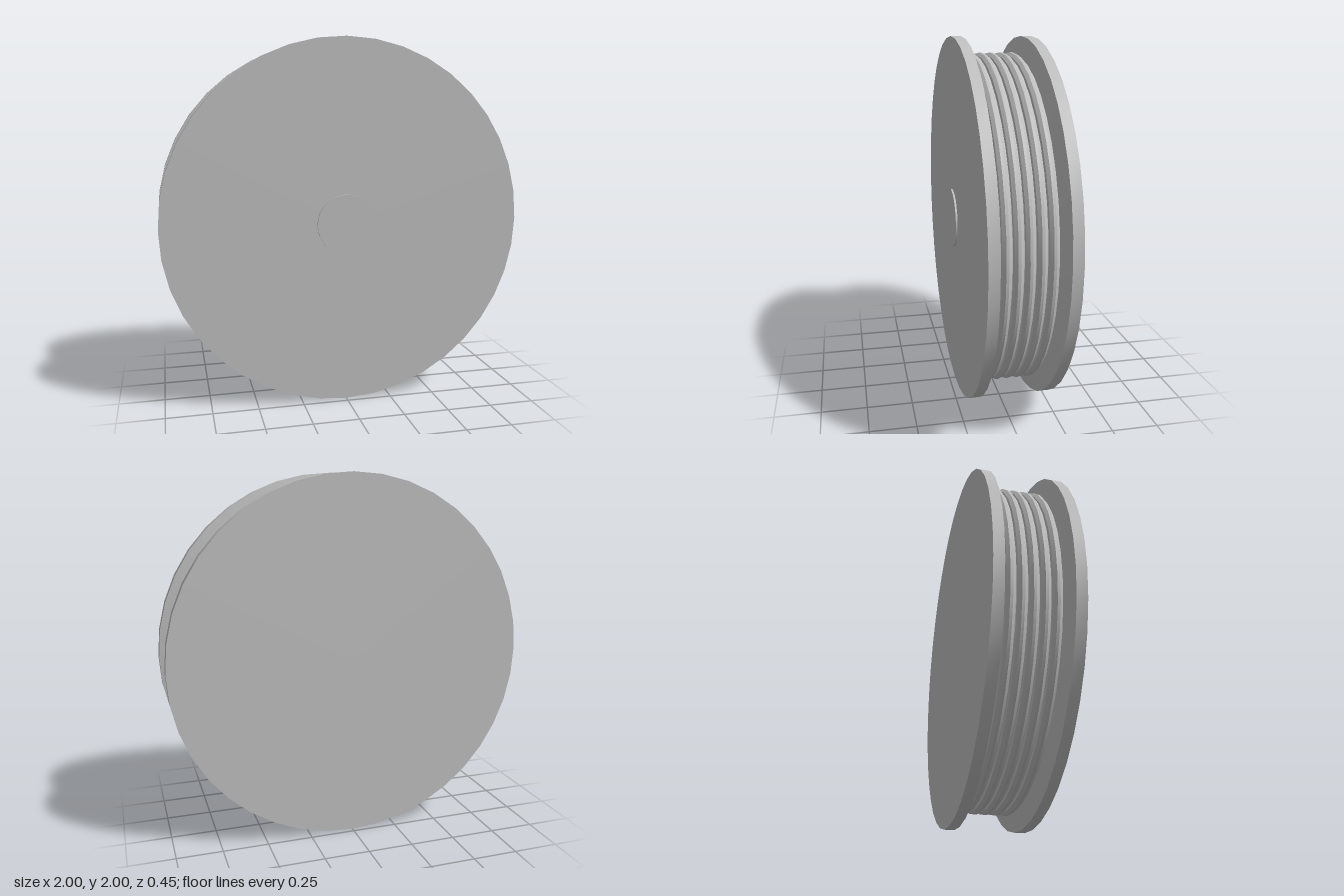
import * as THREE from 'three';
import { toCreasedNormals } from 'three/addons/utils/BufferGeometryUtils.js';

const SIDES = 40;
const MID_Z = -0.005; // middle of the pulley body along its axle

export function createModel() {
  const grey = new THREE.MeshStandardMaterial({ color: 0xc0c0c0 });
  grey.name = 'grey metal';

  const model = new THREE.Group();
  model.name = 'pulleyWheel';

  // Half profile [radius, offset] from back to front, turned about the axle
  const profile = [[0, -0.22], [1, -0.22], [1, -0.165], [0.87, -0.143]];

  // Five bevelled ribs with narrow grooves between them
  for (let i = -2; i <= 2; i++) {
    const c = i * 0.056;
    profile.push(
      [0.87, c - 0.023], [0.9, c - 0.023], [0.914, c - 0.007],
      [0.914, c + 0.007], [0.9, c + 0.023], [0.87, c + 0.023]
    );
  }
  profile.push([0.87, 0.143], [1, 0.165], [1, 0.22], [0, 0.22]);

  const points = profile.map(([r, z]) => new THREE.Vector2(r, z));
  const wheelGeometry = toCreasedNormals(new THREE.LatheGeometry(points, SIDES), 0.45);
  wheelGeometry.rotateX(Math.PI / 2);
  const wheel = new THREE.Mesh(wheelGeometry, grey);
  wheel.name = 'ribbedWheel';
  wheel.position.set(0, 1, MID_Z);
  model.add(wheel);

  // Raised hub disc on the front face
  const hubGeometry = new THREE.CylinderGeometry(0.165, 0.165, 0.03, 16);
  hubGeometry.rotateX(Math.PI / 2);
  const hub = new THREE.Mesh(hubGeometry, grey);
  hub.name = 'frontHub';
  hub.position.set(0, 1, 0.21);
  model.add(hub);

  return model;
}
